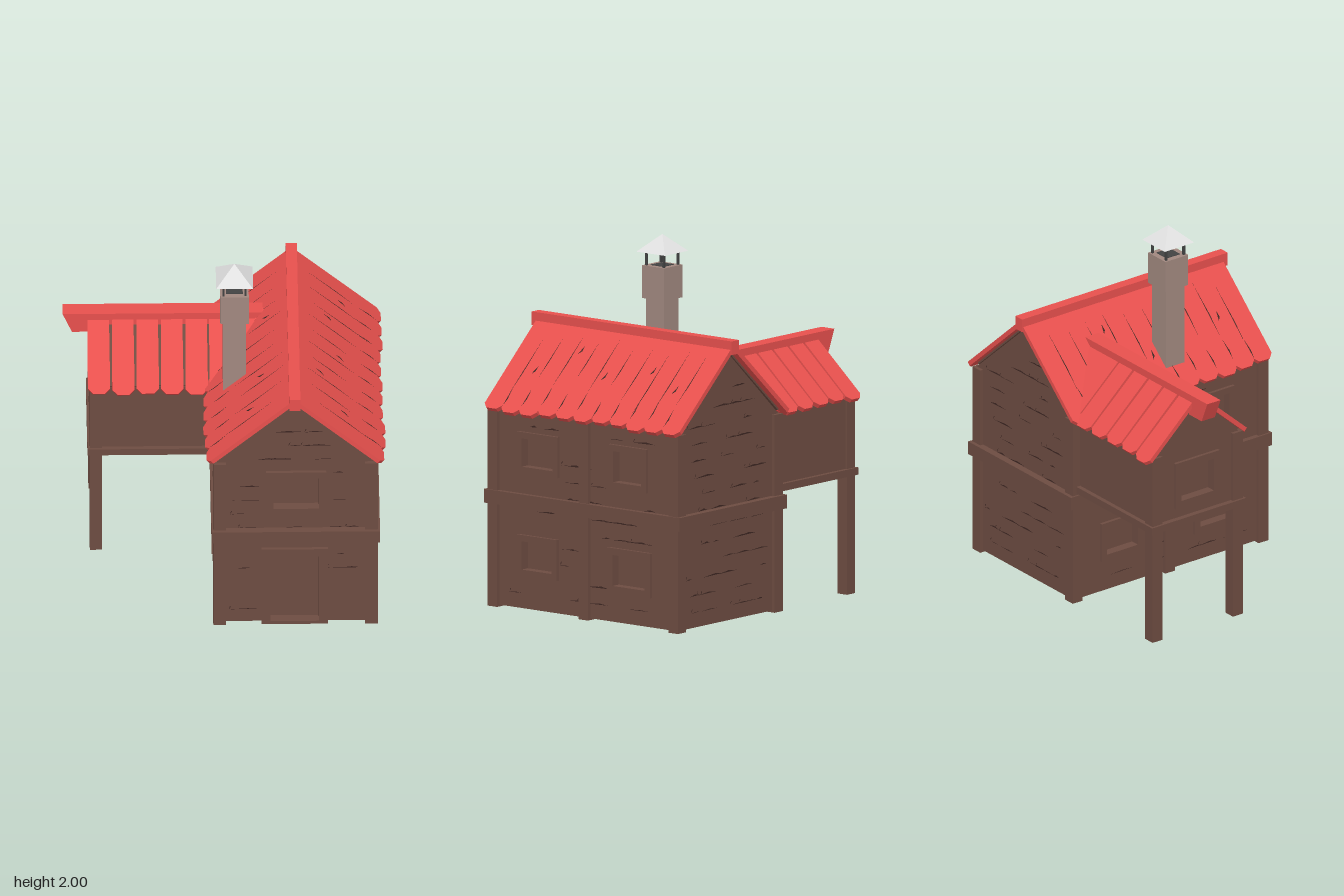
import * as THREE from 'three';

const mat = (name, color, side = THREE.FrontSide) => {
  const m = new THREE.MeshStandardMaterial({ color, side });
  m.name = name;
  return m;
};

export function createModel() {
  const wood = mat('brown wood', 0x6d4c41);
  const crackWood = mat('dark crack', 0x3e2723, THREE.DoubleSide);
  const red = mat('red roof', 0xef5350);
  const brick = mat('chimney stone', 0xa1887f);
  const metal = mat('pale metal', 0xe0e0e0);
  const dark = mat('dark metal', 0x424242);
  metal.flatShading = true;

  const model = new THREE.Group();
  model.name = 'cottage';
  let seed = 7;
  const rnd = () => (seed = (seed * 16807) % 2147483647) / 2147483647;

  const add = (parent, name, geo, m) => {
    const mesh = new THREE.Mesh(geo, m);
    mesh.name = name;
    parent.add(mesh);
    return mesh;
  };
  // Box given by its limits on each axis
  const box = (parent, name, m, x0, x1, y0, y1, z0, z1) => {
    const mesh = add(parent, name, new THREE.BoxGeometry(x1 - x0, y1 - y0, z1 - z0), m);
    mesh.position.set((x0 + x1) / 2, (y0 + y1) / 2, (z0 + z1) / 2);
    return mesh;
  };
  const poly = pts => new THREE.Shape(pts.map(p => new THREE.Vector2(...p)));
  const rect = (x0, x1, y0, y1) => poly([[x0, y0], [x1, y0], [x1, y1], [x0, y1]]);
  // Plate of a shape lying between depths z0 and z1
  const plate = (shape, z0, z1) =>
    new THREE.ExtrudeGeometry(shape, { depth: z1 - z0, bevelEnabled: false }).translate(0, 0, z0);
  // Thin triangular splits in the timber: [x, y, dx, dy, width]
  const cracks = (parent, list, z) => {
    if (!list.length) return;
    const pos = [];
    for (const [x, y, dx, dy, w] of list) {
      const l = Math.hypot(dx, dy);
      pos.push(x, y, z, x + dx, y + dy, z,
        x + dx * 0.6 - dy / l * w, y + dy * 0.6 + dx / l * w, z);
    }
    const g = new THREE.BufferGeometry();
    g.setAttribute('position', new THREE.Float32BufferAttribute(pos, 3));
    g.computeVertexNormals();
    add(parent, 'cracks', g, crackWood);
  };

  // Wall with framed openings [x0, x1, y0, y1, frame width, sill height]; local +z faces outward
  const wall = (name, outline, openings, pos, turn, halfAt) => {
    const g = new THREE.Group();
    g.name = name;
    g.position.set(...pos);
    g.rotation.y = turn;
    model.add(g);
    const shape = poly(outline);
    for (const [x0, x1, y0, y1, b, s = b] of openings) {
      shape.holes.push(rect(x0, x1, y0, y1));
      const frame = rect(x0 - b, x1 + b, y0 - s, y1 + b);
      frame.holes.push(rect(x0, x1, y0, y1));
      add(g, 'openingFrame', plate(frame, -0.005, 0.018), wood);
      box(g, 'recessedPanel', wood, x0 - 0.01, x1 + 0.01, y0 - 0.01, y1 + 0.01, -0.05, -0.035);
    }
    add(g, 'boards', plate(shape, -0.045, 0), wood);
    if (!halfAt) return g;
    // Irregular board seams, kept clear of the openings
    const list = [];
    for (let y = 0.09; y < 1.4; y += 0.092) {
      const half = halfAt(y);
      for (let i = 0; i < 5 && half > 0.1; i++) {
        const x = -half + rnd() * half * 1.75, dx = 0.05 + rnd() * 0.13;
        if (x + dx > half) continue;
        if (openings.some(o => x < o[1] + 0.04 && x + dx > o[0] - 0.04 &&
          y > o[2] - 0.06 && y < o[3] + 0.05)) continue;
        list.push([x, y, dx, 0.003, 0.003 + rnd() * 0.007]);
        if (rnd() < 0.3) list.push([x, y, 0.012, 0.025, 0.005]);
      }
    }
    cracks(g, list, 0.002);
    return g;
  };

  // Main walls
  const cx = 0.375, cz = -0.005;
  const gable = [[-0.425, 0.01], [0.425, 0.01], [0.425, 1.09], [-0.005, 1.475], [-0.425, 1.09]];
  const gableHalf = y => Math.min(0.36, (1.42 - y) * 1.1);
  const side = [[-0.6, 0.01], [0.6, 0.01], [0.6, 1.09], [-0.6, 1.09]];
  const sideHalf = y => (y < 1.08 ? 0.57 : 0);
  wall('frontWall', gable,
    [[-0.12, 0.125, 0.78, 0.985, 0.04], [-0.135, 0.125, 0.02, 0.455, 0.05, 0.02]],
    [cx, 0, 0.64], 0, gableHalf);
  wall('backWall', gable.map(([x, y]) => [-x, y]).reverse(), [], [cx, 0, -0.65], Math.PI, gableHalf);
  const low = [[-0.43, -0.22, 0.225, 0.38, 0.035], [0.205, 0.43, 0.21, 0.38, 0.038]];
  const high = [[-0.43, -0.215, 0.79, 0.945, 0.035], [0.21, 0.405, 0.78, 0.95, 0.035]];
  wall('leftWall', side, [...low, ...high], [0.8, 0, cz], Math.PI / 2, sideHalf);
  wall('rightWall', side, [...low, high[1]], [-0.05, 0, cz], -Math.PI / 2, sideHalf);

  // Interior partition and floor, seen through the open base
  box(model, 'partition', wood, -0.04, 0.79, 0.01, 0.58, -0.02, 0.01);
  box(model, 'upperFloor', wood, -0.04, 0.79, 0.58, 0.61, -0.64, 0.63);

  // Upright posts and the belt of beams
  for (const x of [-0.07, 0.75]) {
    for (const z of [-0.67, -0.04, 0.595]) {
      box(model, 'wallPost', wood, x, x + 0.07, 0, 1.085, z, z + 0.067);
    }
  }
  for (const z of [-0.69, 0.63]) box(model, 'beltBeam', wood, -0.08, 0.83, 0.565, 0.64, z, z + 0.05);
  for (const x of [-0.08, 0.78]) box(model, 'beltBeam', wood, x, x + 0.05, 0.565, 0.64, -0.64, 0.63);

  // Raised side wing
  const wz = -0.325;
  wall('wingEndWall',
    [[-0.29, 0.67], [0.29, 0.67], [0.29, 1.09], [0, 1.35], [-0.29, 1.09]],
    [[-0.11, 0.11, 0.79, 0.98, 0.04]], [-0.71, 0, wz], -Math.PI / 2);
  for (const z of [-0.62, -0.07]) box(model, 'wingSideWall', wood, -0.7, -0.04, 0.67, 1.09, z, z + 0.04);
  box(model, 'wingFloor', wood, -0.7, -0.04, 0.655, 0.685, -0.62, -0.03);
  for (const z of [-0.645, -0.055]) {
    box(model, 'wingSill', wood, -0.74, -0.05, 0.65, 0.69, z, z + 0.05);
    box(model, 'wingPost', wood, -0.727, -0.66, 0, 1.09, z === -0.645 ? -0.632 : -0.085, z === -0.645 ? -0.565 : -0.018);
  }
  box(model, 'wingSill', wood, -0.74, -0.69, 0.65, 0.69, -0.6, -0.05);

  // Roof slope: local y runs down the slope, local z points out of it
  const a = 42 * Math.PI / 180, c = Math.cos(a), s = Math.sin(a);
  const slope = (name, origin, dx, dz) => {
    const g = new THREE.Group();
    g.name = name;
    const v = new THREE.Vector3(dx * c, -s, dz * c);
    const n = new THREE.Vector3(dx * s, c, dz * s);
    const u = new THREE.Vector3().crossVectors(v, n);
    g.quaternion.setFromRotationMatrix(new THREE.Matrix4().makeBasis(u, v, n));
    g.position.set(...origin);
    model.add(g);
    return g;
  };
  // Roof board with a clipped lower end
  const board = (g, u0, u1, len, slant) => {
    const k = 0.028;
    add(g, 'roofBoard', plate(poly([[u0 + slant, 0], [u1 - slant, 0], [u1, len - k],
      [u1 - k, len], [u0 + k, len], [u0, len - k]]), -0.025, 0), red);
  };

  // Main roof
  for (const dx of [-1, 1]) {
    const g = slope('mainRoofSlope', [0.37, 1.53, -0.01], dx, 0);
    box(g, 'roofDeck', wood, -0.64, 0.64, 0, 0.6, -0.035, -0.025);
    const list = [], w = 1.364 / 11;
    for (let i = 0; i < 11; i++) {
      const u = -0.682 + i * w;
      board(g, u, u + w, 0.64 + rnd() * 0.025, 0);
      if (i) {
        list.push([u, 0.05 + rnd() * 0.1, 0.003, 0.25 + rnd() * 0.2, 0.006]);
        list.push([u, 0.45 + rnd() * 0.05, -0.003, 0.13, 0.008]);
      }
      if (i % 2) list.push([u + 0.03 + rnd() * 0.05, 0.15 + rnd() * 0.35, 0.015, 0.06, 0.012]);
    }
    cracks(g, list, 0.002);
  }
  box(model, 'mainRidge', red, 0.34, 0.4, 1.475, 1.55, -0.7, 0.7);

  // Wing roof, with a tapered valley piece running into the main roof
  for (const dz of [-1, 1]) {
    const g = slope('wingRoofSlope', [0, 1.4, wz], 0, dz);
    const m = -dz; // local x direction against model x
    const span = (x0, x1) => (m > 0 ? [x0, x1] : [-x1, -x0]);
    box(g, 'roofDeck', wood, ...span(-0.7, -0.06), 0, 0.42, -0.04, -0.025);
    for (let i = 0; i < 5; i++) {
      const x = -0.738 + i * 0.132;
      board(g, ...span(x, x + 0.121), 0.465 + rnd() * 0.015, 0.003);
    }
    const tri = [[-0.08, 0], [0.215, 0], [-0.08, 0.44]].map(([x, y]) => [x * m, y]);
    add(g, 'valleyPiece', plate(poly(tri), -0.025, 0), red);
  }
  add(model, 'wingRidge', plate(poly([[-0.87, 1.4], [-0.82, 1.28], [0.08, 1.28], [0.21, 1.4]]),
    -0.37, -0.28), red);

  // Chimney with a pyramid cap on four struts
  const chimney = new THREE.Group();
  chimney.name = 'chimney';
  chimney.position.set(0.052, 0, 0.073);
  model.add(chimney);
  box(chimney, 'chimneyStack', brick, -0.062, 0.062, 1.12, 1.65, -0.062, 0.062);
  box(chimney, 'chimneyHead', brick, -0.077, 0.077, 1.65, 1.83, -0.077, 0.077);
  box(chimney, 'flueOpening', dark, -0.045, 0.045, 1.828, 1.833, -0.045, 0.045);
  for (const x of [-1, 1]) {
    for (const z of [-1, 1]) {
      box(chimney, 'capStrut', dark, x * 0.06 - 0.006, x * 0.06 + 0.006, 1.82, 1.908,
        z * 0.06 - 0.006, z * 0.06 + 0.006);
    }
  }
  const cap = add(chimney, 'chimneyCap', new THREE.ConeGeometry(0.141, 0.095, 4), metal);
  cap.position.y = 1.9525;
  cap.rotation.y = Math.PI / 4;

  return model;
}
